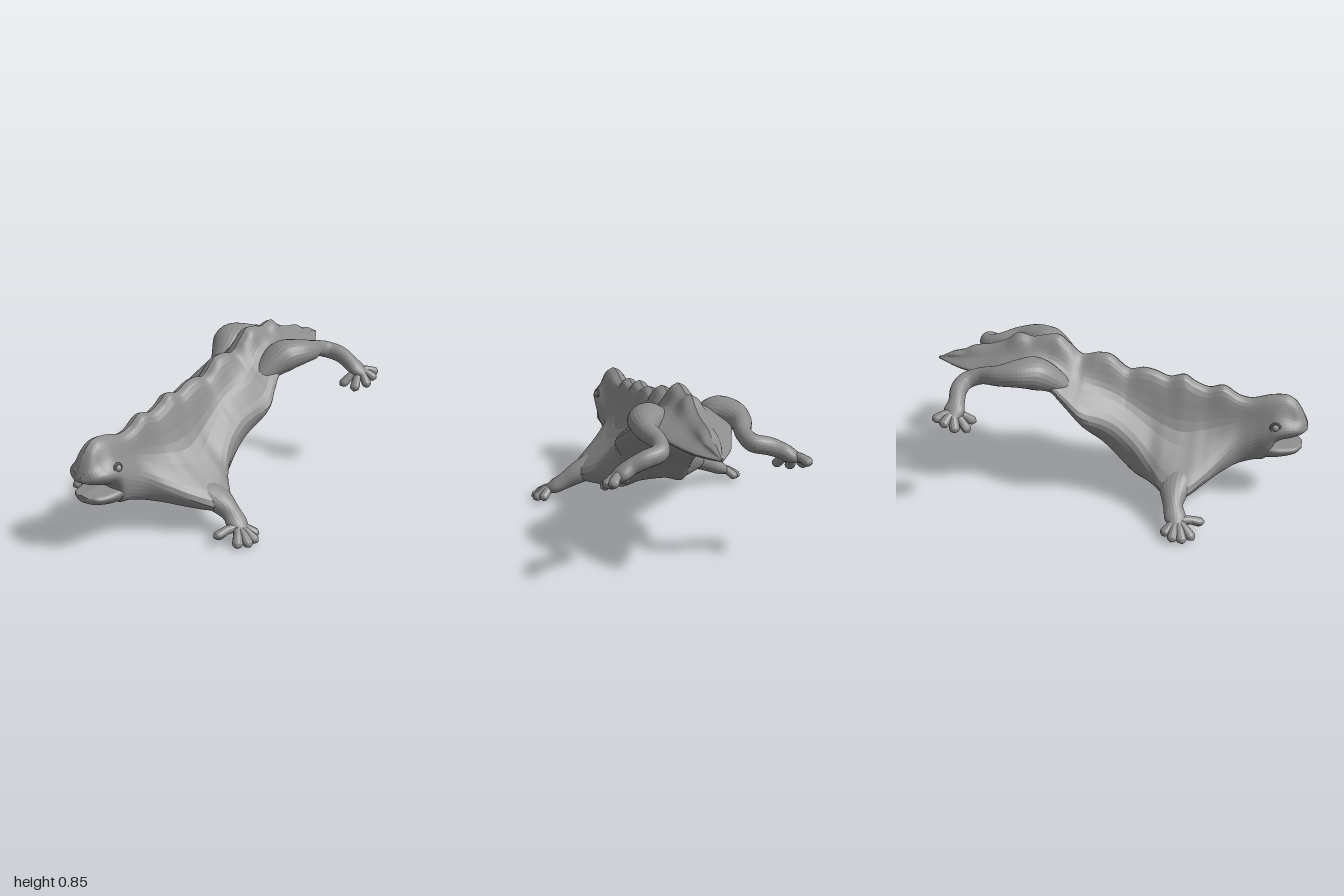
import * as THREE from 'three';

const material = new THREE.MeshStandardMaterial({ color: 0x8c8c8c, flatShading: true });
const V = (x, y, z) => new THREE.Vector3(x, y, z);

// Smooth interpolation of a table whose first column is the key; returns the other columns
function lookup(table, key) {
  const dir = Math.sign(table[1][0] - table[0][0]);
  let i = 0;
  while (i < table.length - 2 && (key - table[i + 1][0]) * dir > 0) i++;
  const a = table[i], b = table[i + 1], h = b[0] - a[0];
  const t = THREE.MathUtils.clamp((key - a[0]) / h, 0, 1);
  const slope = (n, c) => {
    const p = table[Math.max(n - 1, 0)], q = table[Math.min(n + 1, table.length - 1)];
    return (q[c] - p[c]) / (q[0] - p[0]);
  };
  return a.slice(1).map((_, k) => {
    const c = k + 1, t2 = t * t, t3 = t2 * t;
    return a[c] * (2 * t3 - 3 * t2 + 1) + b[c] * (3 * t2 - 2 * t3)
      + h * (slope(i, c) * (t3 - 2 * t2 + t) + slope(i + 1, c) * (t3 - t2));
  });
}

// Closed faceted skin over a list of rings, with a fan at either end
function skin(rings) {
  const n = rings[0].length, last = rings.length - 1, index = [];
  const pts = rings.flat();
  const centre = (ring) => ring.reduce((s, p) => s.add(p), V(0, 0, 0)).divideScalar(n);
  const c0 = pts.push(centre(rings[0])) - 1, c1 = pts.push(centre(rings[last])) - 1;
  for (let j = 0; j < n; j++) {
    const k = (j + 1) % n;
    for (let i = 0; i < last; i++) {
      const a = i * n + j, b = i * n + k;
      index.push(a, b, a + n, b, b + n, a + n);
    }
    index.push(c0, k, j, c1, last * n + j, last * n + k);
  }
  const geo = new THREE.BufferGeometry().setFromPoints(pts);
  geo.setIndex(index);
  return geo;
}

function mesh(name, geo) {
  const faceted = geo.toNonIndexed();
  faceted.computeVertexNormals();
  const m = new THREE.Mesh(faceted, material);
  m.name = name;
  return m;
}

// Crested cross-section: narrow ridge, flank pulled in by k, widest at wy,
// then under the flank at height ly to a flattened belly
function section(z, top, back, [bot, ly, hw, wy, k]) {
  const cw = Math.min(0.036, hw * 0.4), drop = Math.min(0.02, (top - wy) * 0.2);
  const half = new THREE.CatmullRomCurve3([
    V(0, top, z), V(cw, top - drop, z), V(hw * k, (back + wy) / 2, z), V(hw, wy, z),
    V(hw * 0.74, ly, z), V(hw * 0.32, bot + (ly - bot) * 0.15, z), V(0, bot, z),
  ]).getPoints(30);
  return [...half, ...half.slice(1, -1).reverse().map((p) => V(-p.x, p.y, p.z))];
}

function loft(name, rows, tops, steps) {
  const z0 = rows[0][0], z1 = rows[rows.length - 1][0], rings = [];
  for (let i = 0; i <= steps; i++) {
    const z = z0 + (z1 - z0) * i / steps;
    const [before, top, after] = [z + 0.08, z, z - 0.08].map((q) => lookup(tops, q)[0]);
    // The flanks follow an evened-out back so that only the crest is scalloped
    const back = Math.min((before + top + after) / 3, top + 0.02);
    rings.push(section(z, top, back, lookup(rows, z)));
  }
  return mesh(name, skin(rings));
}

// Limb along points [x, y, z, horizontal radius, vertical radius]
function limb(name, pts, side, steps = 40, sides = 22) {
  const path = new THREE.CatmullRomCurve3(pts.map((p) => V(p[0] * side, p[1], p[2])));
  const radii = pts.map((p, i) => [i / (pts.length - 1), p[3], p[4]]);
  const rings = [];
  for (let i = 0; i <= steps; i++) {
    const u = i / steps, c = path.getPoint(u), t = path.getTangent(u);
    const across = V(0, 1, 0).cross(t).normalize(), up = t.clone().cross(across);
    const [rh, rv] = lookup(radii, u);
    rings.push(Array.from({ length: sides }, (_, j) => {
      const a = j / sides * Math.PI * 2;
      return c.clone().addScaledVector(across, rh * Math.cos(a)).addScaledVector(up, rv * Math.sin(a));
    }));
  }
  return mesh(name, skin(rings));
}

// Five toes spreading from a palm, each with a rounded pad
function toes(name, palm, tips, side) {
  const g = new THREE.Group();
  g.name = name;
  for (const tip of tips) {
    const at = (t, lift = 0) => palm.map((p, i) => p + (tip[i] - p) * t + (i === 1 ? lift : 0));
    g.add(limb('toe', [
      [...at(0), 0.027, 0.025], [...at(0.5, 0.008), 0.023, 0.022],
      [...at(0.85), 0.027, 0.024], [...at(1), 0.023, 0.02], [...at(1.12), 0.004, 0.004],
    ], side, 16, 12));
  }
  return g;
}

// Height of the scalloped crest from snout to tail: [z, y]
const crest = [
  [1, 0.43], [0.985, 0.475], [0.96, 0.53], [0.93, 0.57], [0.88, 0.597], [0.8, 0.592], [0.7, 0.565],
  [0.63, 0.577], [0.55, 0.625], [0.47, 0.61], [0.4, 0.635], [0.34, 0.672], [0.26, 0.655],
  [0.18, 0.685], [0.12, 0.695], [0.04, 0.685], [-0.05, 0.755], [-0.12, 0.765], [-0.21, 0.75],
  [-0.28, 0.81], [-0.33, 0.85], [-0.39, 0.848], [-0.47, 0.83], [-0.55, 0.845], [-0.62, 0.8],
  [-0.7, 0.77], [-0.8, 0.752], [-0.86, 0.72], [-0.92, 0.705], [-1, 0.662],
];
// [z, belly y, under-flank y, half width, y of widest point, flank factor]
const trunk = [
  // snout and upper lip, stepping down to the throat at the mouth corner
  [1, 0.405, 0.41, 0.03, 0.418, 0.7], [0.97, 0.392, 0.4, 0.082, 0.43, 0.68],
  [0.92, 0.376, 0.388, 0.112, 0.435, 0.64], [0.84, 0.35, 0.36, 0.13, 0.42, 0.64],
  [0.79, 0.237, 0.265, 0.126, 0.385, 0.64], [0.72, 0.215, 0.24, 0.116, 0.35, 0.62],
  // shoulders flaring into the front legs
  [0.64, 0.195, 0.212, 0.13, 0.31, 0.55], [0.56, 0.187, 0.183, 0.21, 0.255, 0.42],
  [0.48, 0.182, 0.15, 0.305, 0.2, 0.35], [0.4, 0.18, 0.122, 0.385, 0.16, 0.34],
  [0.33, 0.178, 0.116, 0.4, 0.155, 0.35], [0.26, 0.173, 0.115, 0.36, 0.18, 0.37],
  [0.19, 0.17, 0.123, 0.29, 0.235, 0.41], [0.1, 0.172, 0.15, 0.24, 0.33, 0.46],
  // waist and hips
  [0, 0.23, 0.25, 0.23, 0.42, 0.45], [-0.07, 0.3, 0.33, 0.247, 0.465, 0.44],
  [-0.17, 0.39, 0.42, 0.285, 0.515, 0.42], [-0.27, 0.49, 0.515, 0.25, 0.59, 0.42],
  [-0.35, 0.57, 0.59, 0.225, 0.65, 0.4], [-0.48, 0.64, 0.65, 0.22, 0.69, 0.4],
  // tail
  [-0.6, 0.65, 0.655, 0.195, 0.68, 0.42], [-0.72, 0.633, 0.64, 0.15, 0.663, 0.45],
  [-0.86, 0.632, 0.64, 0.095, 0.658, 0.5], [-1, 0.655, 0.656, 0.004, 0.659, 0.5],
];
const lowerJaw = [
  [0.975, 0.29, 0.297, 0.03, 0.31, 0.9], [0.95, 0.275, 0.284, 0.075, 0.308, 0.9],
  [0.9, 0.26, 0.272, 0.1, 0.305, 0.9], [0.83, 0.243, 0.262, 0.114, 0.308, 0.9],
  [0.75, 0.232, 0.255, 0.105, 0.31, 0.9],
];

export function createModel() {
  const model = new THREE.Group();
  model.name = 'crestedReptile';
  model.add(loft('headBodyAndTail', trunk, crest, 170));
  model.add(loft('lowerJaw', lowerJaw, [[0.975, 0.325], [0.9, 0.335], [0.75, 0.345]], 24));

  for (const [label, s] of [['left', 1], ['right', -1]]) {
    // Eye with a lid ring
    const eye = new THREE.Group();
    eye.name = label + 'Eye';
    eye.add(mesh('eyeball', new THREE.SphereGeometry(0.02, 16, 12)));
    eye.add(mesh('eyelid', new THREE.TorusGeometry(0.024, 0.007, 8, 20)));
    eye.position.set(s * 0.112, 0.455, 0.835);
    eye.rotation.y = s * Math.PI / 2;
    model.add(eye);

    // Front leg growing out of the shoulder flare
    model.add(limb(label + 'FrontLeg', [
      [0.17, 0.21, 0.355, 0.05, 0.03], [0.26, 0.197, 0.348, 0.09, 0.066],
      [0.35, 0.168, 0.34, 0.078, 0.06], [0.43, 0.125, 0.345, 0.052, 0.047],
      [0.49, 0.088, 0.365, 0.056, 0.038], [0.54, 0.062, 0.38, 0.03, 0.02],
    ], s));
    model.add(toes(label + 'FrontFoot', [0.5, 0.078, 0.375], [
      [0.575, 0.043, 0.315], [0.605, 0.031, 0.362], [0.602, 0.026, 0.415],
      [0.565, 0.027, 0.462], [0.458, 0.06, 0.498],
    ], s));

    // Bulging thigh rising out of the flank, shank running back, ankle turned outward
    model.add(limb(label + 'HindLeg', [
      [0.13, 0.56, -0.22, 0.03, 0.03], [0.15, 0.645, -0.32, 0.07, 0.06],
      [0.18, 0.7, -0.42, 0.1, 0.085], [0.223, 0.714, -0.5, 0.087, 0.072],
      [0.243, 0.703, -0.6, 0.055, 0.056], [0.216, 0.68, -0.71, 0.041, 0.045],
      [0.235, 0.655, -0.785, 0.044, 0.046], [0.31, 0.637, -0.805, 0.044, 0.045],
      [0.38, 0.605, -0.798, 0.043, 0.041], [0.43, 0.575, -0.8, 0.054, 0.037],
      [0.48, 0.55, -0.805, 0.03, 0.02],
    ], s, 64));
    model.add(toes(label + 'HindFoot', [0.44, 0.57, -0.8], [
      [0.496, 0.558, -0.885], [0.52, 0.54, -0.836], [0.515, 0.51, -0.775],
      [0.462, 0.49, -0.722], [0.388, 0.507, -0.71],
    ], s));
  }
  return model;
}
